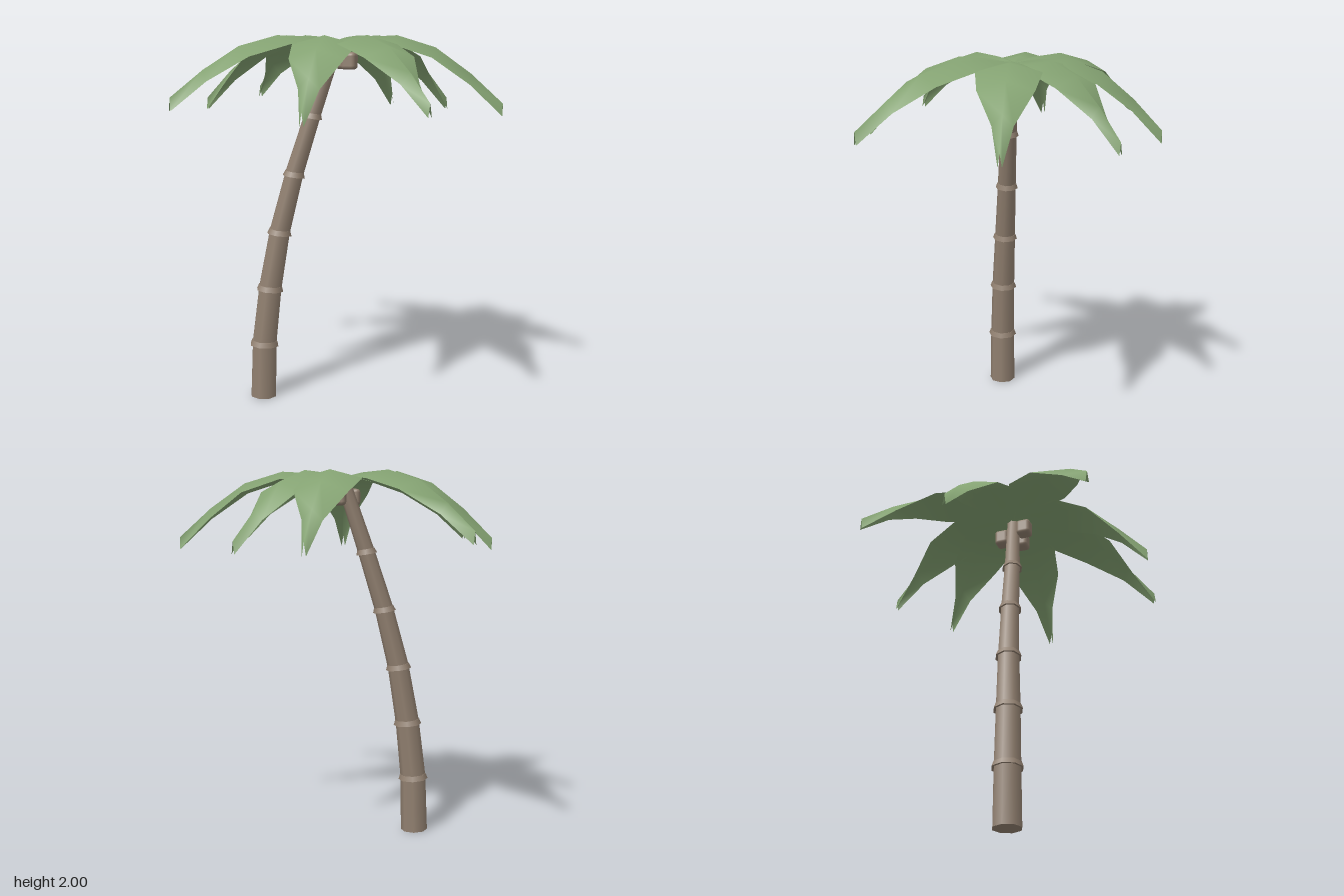
import * as THREE from 'three';
import { RoundedBoxGeometry } from 'three/addons/geometries/RoundedBoxGeometry.js';

const UP = new THREE.Vector3(0, 1, 0);

function makeMaterial(name, color, side = THREE.FrontSide) {
  const m = new THREE.MeshStandardMaterial({ color, side });
  m.name = name;
  return m;
}

// One arched frond: cross-sections of left edge, midrib and right edge.
// Stations: [fraction of length, half width, midrib drop, extra drop of the edges]
const FROND = [
  [0, 0.012, 0.035, 0.005],
  [0.16, 0.09, 0.012, 0.025],
  [0.37, 0.168, 0.002, 0.045],
  [0.6, 0.14, 0.065, 0.05],
  [0.81, 0.052, 0.2, 0.055],
  [1, 0.01, 0.355, 0.065],
];

function frondGeometry(crown, tipX, tipZ, droop) {
  const dir = new THREE.Vector3(tipX - crown.x, 0, tipZ - crown.z);
  const length = dir.length();
  dir.normalize();
  const pos = [], index = [];
  FROND.forEach(([t, half, drop, edge], i) => {
    for (let u = -1; u <= 1; u++) {
      pos.push(
        crown.x + dir.x * t * length - dir.z * u * half,
        2 - drop * droop - Math.abs(u) * edge,
        crown.z + dir.z * t * length + dir.x * u * half,
      );
    }
    if (i === 0) return;
    for (let j = 0; j < 2; j++) {
      const a = (i - 1) * 3 + j, b = i * 3 + j;
      index.push(a, a + 1, b, a + 1, b + 1, b);
    }
  });
  const g = new THREE.BufferGeometry();
  g.setAttribute('position', new THREE.Float32BufferAttribute(pos, 3));
  g.setIndex(index);
  g.computeVertexNormals();
  return g;
}

export function createModel() {
  const palm = new THREE.Group();
  palm.name = 'palmTree';
  const bark = makeMaterial('bark', 0x918070);
  const leaf = makeMaterial('leaf', 0x84a272, THREE.DoubleSide);

  const add = (parent, name, geometry, material) => {
    const mesh = new THREE.Mesh(geometry, material);
    mesh.name = name;
    parent.add(mesh);
    return mesh;
  };

  // Leaning trunk: tapered sections joined under flared rings [x, y, z, radius]
  const trunk = new THREE.Group();
  trunk.name = 'trunk';
  palm.add(trunk);
  const joints = [
    [-0.447, 0, 0.122, 0.074],
    [-0.438, 0.31, 0.119, 0.07],
    [-0.403, 0.625, 0.109, 0.065],
    [-0.35, 0.94, 0.091, 0.058],
    [-0.27, 1.26, 0.07, 0.051],
    [-0.172, 1.575, 0.047, 0.045],
    [-0.055, 1.93, 0.012, 0.037],
  ];
  for (let i = 0; i < joints.length - 1; i++) {
    const a = new THREE.Vector3(...joints[i]), b = new THREE.Vector3(...joints[i + 1]);
    const axis = b.clone().sub(a);
    const r = joints[i][3];
    const section = add(trunk, 'trunkSection',
      new THREE.CylinderGeometry(joints[i + 1][3], r, axis.length(), 8), bark);
    section.position.copy(a).add(b).multiplyScalar(0.5);
    section.quaternion.setFromUnitVectors(UP, axis.normalize());
    if (i > 0) {
      const ring = add(trunk, 'trunkRing',
        new THREE.CylinderGeometry(r + 0.002, r + 0.012, 0.028, 8), bark);
      ring.position.copy(a);
      ring.quaternion.copy(section.quaternion).slerp(new THREE.Quaternion(), 0.5);
    }
  }

  // Crown of eight drooping fronds [tip x, tip z, droop]
  const crown = new THREE.Vector3(-0.05, 0, 0.005);
  const fronds = new THREE.Group();
  fronds.name = 'fronds';
  palm.add(fronds);
  for (const [x, z, droop] of [
    [0.83, -0.042, 0.98], [0.44, -0.575, 1], [0.07, -0.777, 1], [-0.72, -0.61, 0.86],
    [-0.835, -0.08, 0.98], [-0.72, 0.635, 0.86], [0.01, 0.772, 1], [0.595, 0.69, 0.86],
  ]) add(fronds, 'frond', frondGeometry(crown, x, z, droop), leaf);

  // Coconuts tucked under the crown
  const nut = new RoundedBoxGeometry(0.08, 0.09, 0.08, 2, 0.02);
  for (const [x, z] of [[-0.095, 0.093], [-0.03, -0.06], [0.03, 0.035]]) {
    add(palm, 'coconut', nut, bark).position.set(x, 1.865, z);
  }

  return palm;
}
